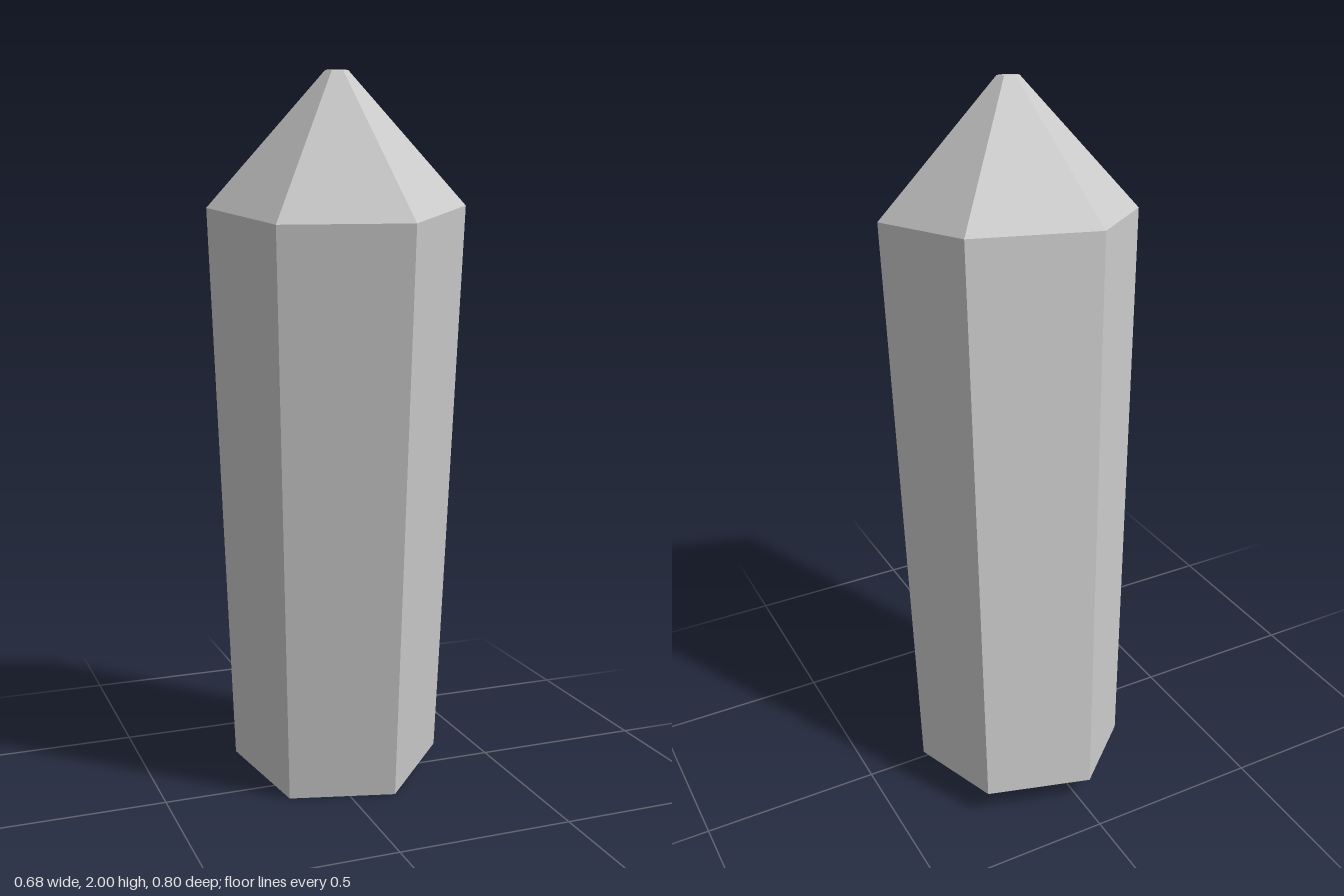
import * as THREE from 'three';

const SIDES = 6;
const TURN = 0.28;

// Hexagonal cross-section lying in a slightly tilted plane
function ring(x, y, z, radius) {
  const points = [];
  for (let i = 0; i < SIDES; i++) {
    const a = TURN + (i / SIDES) * Math.PI * 2;
    const dx = radius * Math.cos(a);
    const dz = radius * Math.sin(a);
    points.push([x + dx, y + 0.05 * dx - 0.14 * dz, z + dz]);
  }
  return { center: [x, y, z], points };
}

// Joins the rings with flat facets and closes both ends
function facetedGeometry(rings) {
  const positions = [];
  const tri = (...corners) => corners.forEach((c) => positions.push(...c));
  const base = rings[0];
  const tip = rings[rings.length - 1];
  for (let i = 0; i < SIDES; i++) {
    const j = (i + 1) % SIDES;
    for (let k = 0; k + 1 < rings.length; k++) {
      const lower = rings[k].points;
      const upper = rings[k + 1].points;
      tri(lower[i], upper[i], lower[j]);
      tri(upper[i], upper[j], lower[j]);
    }
    tri(base.center, base.points[i], base.points[j]);
    tri(tip.center, tip.points[j], tip.points[i]);
  }
  const geometry = new THREE.BufferGeometry();
  geometry.setAttribute('position', new THREE.Float32BufferAttribute(positions, 3));
  geometry.computeVertexNormals();
  return geometry;
}

export function createModel() {
  const group = new THREE.Group();
  group.name = 'crystal';

  // Leaning shaft, widening to the shoulder, then a blunt point
  const shard = new THREE.Mesh(
    facetedGeometry([
      ring(0.05, 0.04, -0.11, 0.3),
      ring(-0.01, 1.65, 0.06, 0.35),
      ring(-0.03, 2, 0.11, 0.03),
    ]),
    new THREE.MeshStandardMaterial({ color: 0xcccccc, flatShading: true })
  );
  shard.name = 'crystalShard';
  group.add(shard);

  return group;
}
